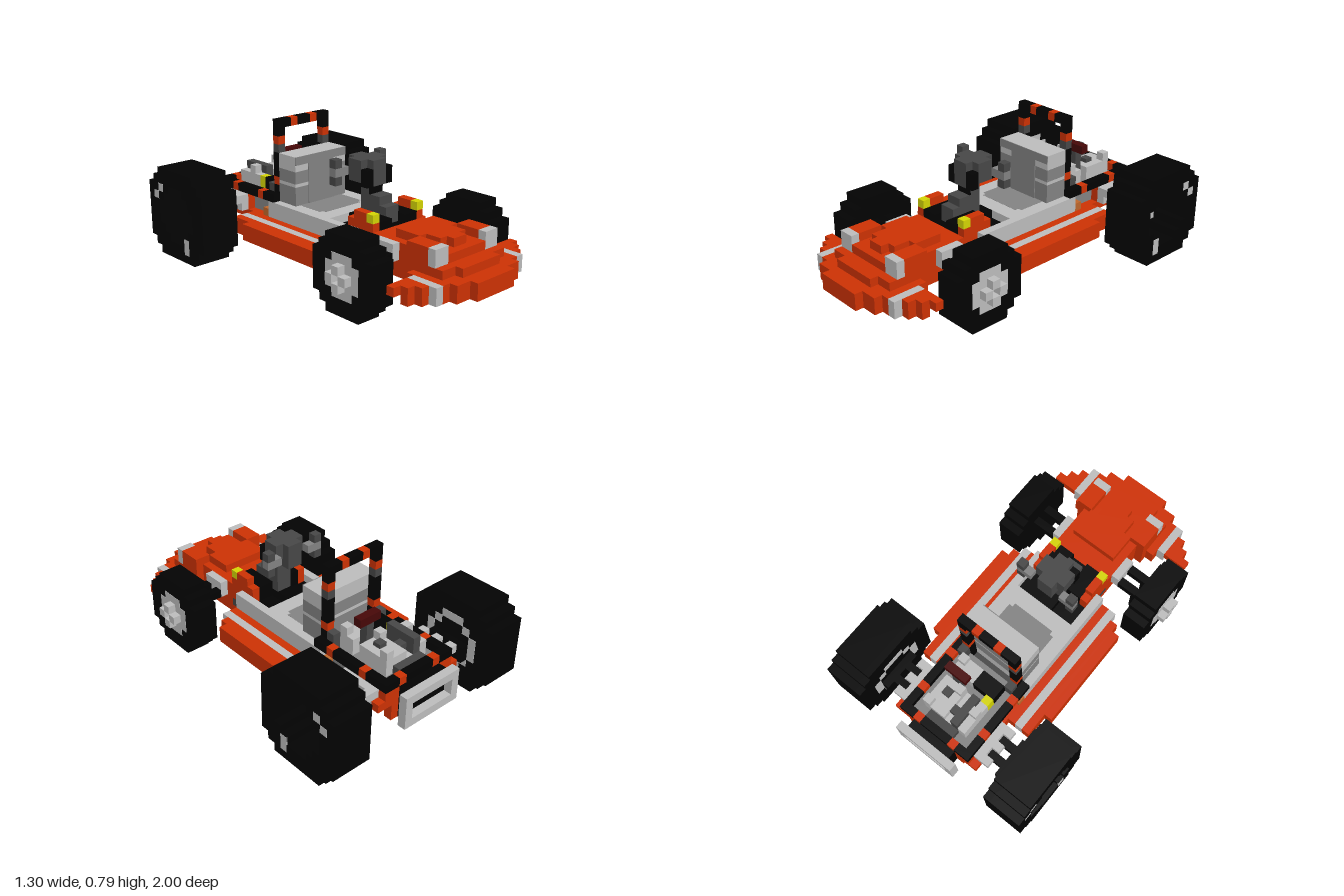
import * as THREE from 'three';
import { mergeGeometries } from 'three/addons/utils/BufferGeometryUtils.js';

const U = 2 / 43; // one block
const mat = (name, color) => {
  const m = new THREE.MeshStandardMaterial({ color });
  m.name = name;
  return m;
};

export function createModel() {
  const orange = mat('orange', 0xcf3204), light = mat('lightGrey', 0xbfbfbf);
  const mid = mat('midGrey', 0x848484), dark = mat('darkGrey', 0x484848);
  const black = mat('black', 0x030303), yellow = mat('yellow', 0xd6d604);
  const red = mat('darkRed', 0x480808), tan = mat('tan', 0xc0682c);
  const kart = new THREE.Group();
  kart.name = 'kart';

  // A block spans [x0, x1, y0, y1, k0, k1] in block units; k runs from back to front
  const block = ([x0, x1, y0, y1, k0, k1]) =>
    new THREE.BoxGeometry((x1 - x0) * U, (y1 - y0) * U, (k1 - k0) * U)
      .translate((x0 + x1) / 2 * U, (y0 + y1) / 2 * U, (k0 + k1) / 2 * U - 1);
  const part = (name, material, blocks) => {
    const mesh = new THREE.Mesh(mergeGeometries(blocks.map(block)), material);
    mesh.name = name;
    kart.add(mesh);
  };
  const both = (...blocks) => blocks.flatMap(b => [b, [-b[1], -b[0], ...b.slice(2)]]);
  const centred = (w, ...rest) => [-w, w, ...rest];

  // Rows of blocks forming a disc, with an optional hole of given row widths
  const disc = (x0, x1, c, outer, inner = []) => {
    const skip = (outer.length - inner.length) / 2;
    return outer.flatMap((w, y) => {
      const h = inner[y - skip];
      return h
        ? [[x0, x1, y, y + 1, c - w / 2, c - h / 2], [x0, x1, y, y + 1, c + h / 2, c + w / 2]]
        : [[x0, x1, y, y + 1, c - w / 2, c + w / 2]];
    });
  };

  // Rear wheels: deep dished tyre with eight spokes at the bottom of the dish
  const big = [7, 9, 11, 11, 11, 11, 11, 11, 11, 9, 7], hole = [3, 5, 7, 7, 7, 5, 3];
  part('rearTyres', black, both(...disc(9.9, 14, 5.5, big, hole), ...disc(9, 9.9, 5.5, big)));
  const cell = (x0, x1) => ([y, k]) => [x0, x1, y, y + 1, k, k + 1];
  const spokes = [[3, 4]];
  for (const a of [-1, 0, 1]) for (const b of [-1, 0, 1]) {
    if (!a && !b) continue;
    for (const r of a && b ? [1, 2] : [1, 2, 3]) spokes.push([5 + a * r, 5 + b * r]);
  }
  part('rearSpokes', light, both(...spokes.map(cell(9.9, 10))));
  part('rearTyreFlecks', light, both(...[[8, 2], [7, 1], [2, 7], [1, 7]].map(cell(13.9, 14.01))));
  const rim = [];
  for (let i = 0; i < 16; i++) {
    const a = i * Math.PI / 8;
    rim.push([Math.round(5 + 3.2 * Math.sin(a)), Math.round(5 + 3.2 * Math.cos(a))]);
  }
  part('rearInnerRims', light, both(...rim.map(cell(8.95, 9))));

  // Front wheels with plus-shaped hubs
  part('frontTyres', black, both(...disc(8, 11, 31.5, [5, 7, 9, 9, 9, 9, 9, 7, 5])));
  part('frontHubs', light, both(
    [10.9, 11.04, 2, 7, 30, 33], [10.9, 11.04, 3, 6, 29, 30], [10.9, 11.04, 3, 6, 33, 34],
    [11, 12, 3, 4, 31, 32], [11, 12, 5, 6, 31, 32], [11, 12, 4, 5, 30, 31], [11, 12, 4, 5, 32, 33]));

  // Axles and arms
  part('frontArms', black, [...both([5, 8, 5, 6, 30, 31], [5, 8, 5, 6, 32, 33],
    [7, 8, 2, 5, 30, 31], [7, 8, 2, 5, 32, 33]), centred(2, 2, 3, 30, 33)]);
  part('frontMounts', light, both([4, 5, 5, 7, 30, 33]));
  part('rearArms', black, both([5, 8, 5, 6, 4, 5], [5, 8, 5, 6, 6, 7], [8, 9, 4, 6, 3, 8]));
  part('rearHousings', light, both([5, 6, 5, 7, 3, 8], [6, 7, 6, 7, 3, 4], [6, 7, 6, 7, 5, 6], [6, 7, 6, 7, 7, 8]));

  // Side pods with a grey stripe
  part('sidePods', orange, both([8, 9, 3, 5, 12, 25], [7, 8, 3, 5, 9, 26], [5, 6, 3, 5, 9, 27]));
  part('podStripes', light, both([6, 7, 3, 5, 9, 27]));

  // Ladder frame and floor
  const rungs = [9, 14, 19, 24].map(k => centred(3, 3, 4, k, k + 1));
  part('frameRails', orange, both([4, 5, 3, 5, 8, 27], [3, 4, 3, 4, 8, 29]));
  part('frameRungs', tan, [...rungs, ...both([4, 5, 5, 6, 11, 12])]);
  part('floor', dark, [centred(4, 4, 5, 8, 29)]);
  part('tubWalls', light, both([4, 5, 5, 7, 12, 27]));

  // Seat: solid base flush with the tub, banded backrest
  part('seatShell', light, [centred(4, 5, 7, 13, 22), centred(4, 9.3, 9.7, 13, 16), centred(4, 11.2, 13, 13, 16)]);
  part('seatBands', mid, [centred(4, 7, 9.3, 13, 16), centred(4, 9.7, 11.2, 13, 16)]);
  part('seatCushion', mid, [centred(3.3, 7, 7.02, 16, 19.5), centred(2.8, 7, 7.02, 19.5, 20),
    centred(4, 12, 13, 16, 16.1), centred(2, 7, 12, 16, 16.1)]);

  // Steering column, panel and grips
  part('steeringColumn', dark, [centred(1, 7, 9, 24, 28), centred(1, 9, 10, 24, 27), centred(1, 10, 11, 24, 25.3),
    centred(1, 11, 14, 22, 26), ...both([1, 2, 12, 14, 23, 25],
      [3, 4, 13, 14, 22, 23], [3, 4, 11, 12, 22, 23])]);
  part('steeringBar', mid, both([2, 4, 12, 13, 22, 23]));
  part('steeringKnobs', black, [...both([1, 2, 11, 13, 25, 26]), centred(1, 10, 11, 25.3, 25.5)]);
  part('footwell', black, [...both([1, 3, 5, 8, 25, 29]), centred(1, 5, 7, 22, 29), ...both([1, 4, 5, 6, 22, 25])]);

  // Cowl and stepped hood
  part('cowl', orange, both([3, 4, 5, 8, 25, 29], [3, 4, 8, 9, 26, 28]));
  part('hood', orange, [centred(4, 3, 7, 29, 36), centred(3, 7, 8, 31.5, 35), centred(2, 7, 8, 35, 37),
    centred(1, 7, 8, 37, 38), centred(3, 6, 7, 36, 39), centred(5, 5, 6, 35, 40), centred(3, 5, 6, 40, 41),
    ...both([3, 5, 6, 8, 35, 38])]);
  part('indicators', yellow, both([3, 4, 8, 9, 28, 29]));
  part('headlights', light, both([3, 5, 6, 8, 38, 39]));

  // Rounded front bumper, one slice per block of depth
  const slices = [5, 6, 10, 9, 8, 7, 5, 3];
  const bumper = [], stripe = [];
  slices.forEach((w, i) => {
    const k = 35 + i, y0 = w === 10 ? 4 : 3;
    bumper.push(centred(Math.min(w, 6), 3, 5, k, k + 1));
    if (w > 6) stripe.push([6, 7, 3, 5, k, k + 1]);
    if (w > 7) bumper.push(...both([7, w, y0, 5, k, k + 1]));
  });
  part('bumper', orange, bumper);
  part('bumperStripes', light, both(...stripe));
  part('nosePlate', tan, [centred(4, 2.98, 3, 35, 40)]);

  // Roll hoop with orange bands
  part('rollHoop', black, [centred(1, 16, 17, 12, 13), ...both([2, 4, 16, 17, 12, 13], [3, 4, 15, 16, 12, 13],
    [3, 4, 10, 13, 12, 13], [3, 4, 5, 9, 12, 13])]);
  part('rollHoopBands', orange, both([1, 2, 16, 17, 12, 13], [3, 4, 14, 15, 12, 13], [3, 4, 9, 10, 12, 13]));
  part('rollHoopJoints', dark, both([3, 4, 13, 14, 12, 13], [3, 4, 7, 9, 11, 12]));

  // Rear cage rails
  part('rearRails', black, [...both([4, 5, 7, 8, 11, 13], [4, 5, 7, 8, 6, 10], [4, 5, 7, 8, 3, 5]),
    centred(2, 7, 8, 2, 3), ...both([3, 5, 7, 8, 2, 3])]);
  part('rearRailBands', orange, both([4, 5, 7, 8, 10, 11], [4, 5, 7, 8, 5, 6], [2, 3, 7, 8, 2, 3], [5, 6, 5, 6, 2, 3]));

  // Engine
  part('engineBase', mid, [centred(4, 5, 7, 3, 12)]);
  part('engineBlocks', light, [[0, 3, 7, 9, 4, 8], [0, 3, 7, 9, 9, 11], [-3, -2, 7, 9, 4, 8],
    [-1, 0, 7, 8, 4, 8], [2, 3, 9, 10, 10, 11], [-3, -2, 9, 10, 6, 7], [2, 3, 9, 10, 4, 5], [0, 1, 9, 10, 7, 8]]);
  part('enginePipes', dark, [[-2, -1, 7, 10, 4, 8], [-1, 0, 8, 9, 5, 6], [1, 2, 9, 9.5, 6, 7],
    centred(2, 7, 8, 3, 4), [1, 2, 7, 11, 8, 9]]);
  part('engineBox', black, [[-3, 0, 7, 9, 9, 11]]);
  part('engineCap', yellow, [[-3, -2, 7, 9, 8, 9]]);
  part('airIntake', red, [[0, 3, 11, 12, 8, 9]]);

  // Tail body and hollow rear frame
  part('tail', orange, [centred(5, 5, 7, 2, 3), ...both([4, 5, 4, 7, 3, 8]), centred(4, 3, 5, 2, 3)]);
  part('tailPanel', black, [centred(3, 3, 7, 1, 2), centred(4, 4, 5, 3, 8)]);
  part('rearFrame', light, [centred(4, 3, 4, 0, 1), centred(4, 6, 7, 0, 1), ...both([3, 4, 4, 6, 0, 1])]);

  return kart;
}
